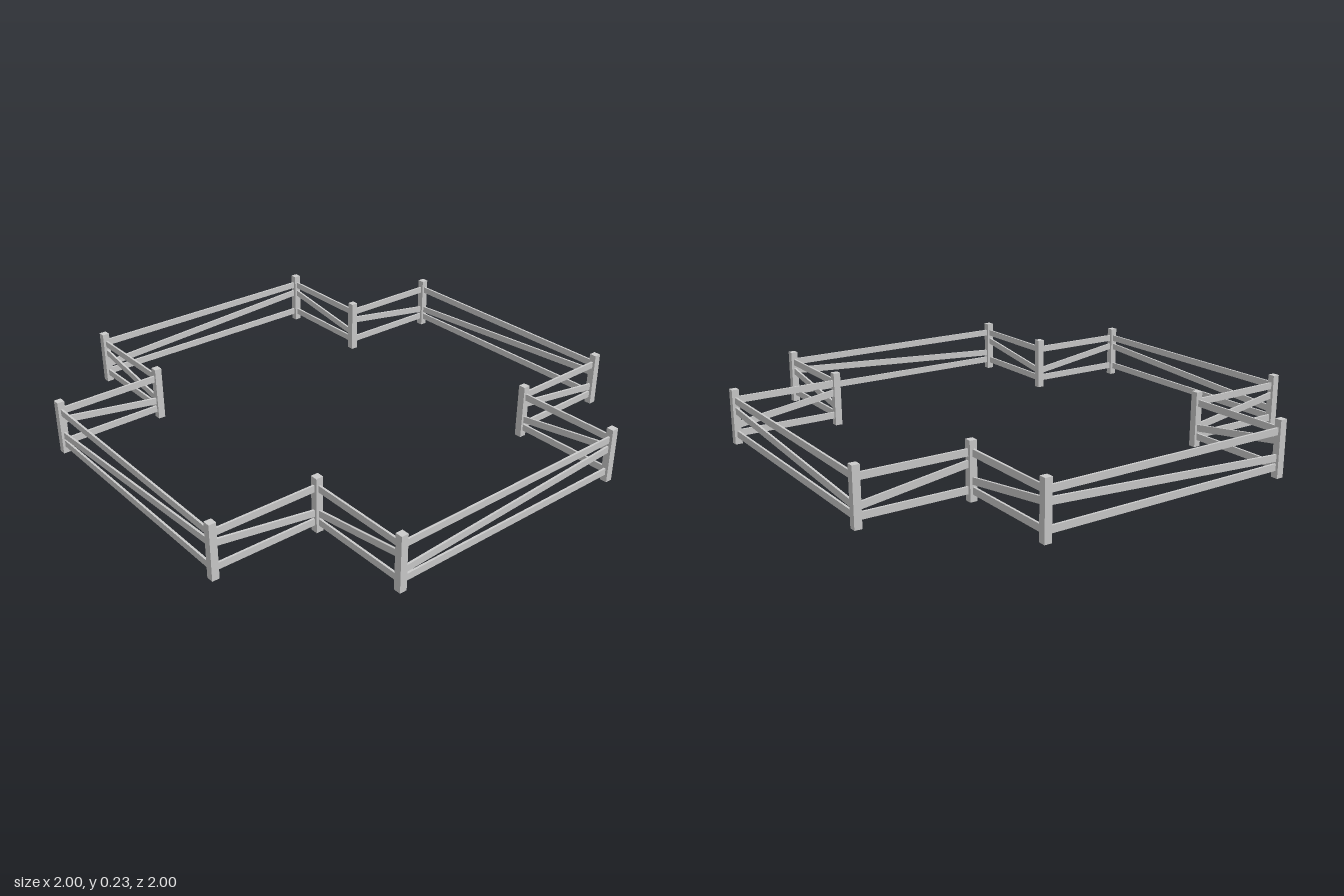
import * as THREE from 'three';

const POST = { width: 0.03, height: 0.23 };
const RAIL = { height: 0.028, depth: 0.009, inset: 0.012 };
const LOW = 0.079, HIGH = 0.142;

export function createModel() {
  const group = new THREE.Group();
  group.name = 'crossShapedFence';
  const material = new THREE.MeshStandardMaterial({ color: 0xcccccc, flatShading: true });

  // Corners of the cross-shaped outline, in order around it; the flag tells
  // whether the slanted rail rises from this corner to the next
  const o = 0.985, left = 0.534, right = -0.539, z = 0.537, zIn = 0.541;
  const corners = [
    [right, o, true], [left, o, false], [left, zIn, false],
    [o, z, false], [o, -z, true], [left, -zIn, true],
    [left, -o, false], [right, -o, false], [right, -zIn, true],
    [-o, -z, true], [-o, z, false], [right, zIn, true],
  ];

  // Square posts
  const postGeometry = new THREE.BoxGeometry(POST.width, POST.height, POST.width);
  for (const [px, pz] of corners) {
    const post = new THREE.Mesh(postGeometry, material);
    post.name = 'post';
    post.position.set(px, POST.height / 2, pz);
    group.add(post);
  }

  // A thin board from post to post; its ends are cut upright
  function addRail(name, [x0, z0], y0, [x1, z1], y1) {
    const length = Math.hypot(x1 - x0, z1 - z0) - 2 * RAIL.inset;
    const geometry = new THREE.BoxGeometry(length, RAIL.height, RAIL.depth);
    const p = geometry.attributes.position;
    for (let i = 0; i < p.count; i++) {
      p.setY(i, p.getY(i) + (p.getX(i) / length) * (y1 - y0));
    }
    geometry.computeVertexNormals();
    const rail = new THREE.Mesh(geometry, material);
    rail.name = name;
    rail.position.set((x0 + x1) / 2, (y0 + y1) / 2, (z0 + z1) / 2);
    rail.rotation.y = Math.atan2(z0 - z1, x1 - x0);
    group.add(rail);
  }

  // Two level rails and one slanted rail per span
  corners.forEach((a, i) => {
    const b = corners[(i + 1) % corners.length];
    const rises = a[2];
    addRail('topRail', a, 0.184, b, 0.184);
    addRail('bottomRail', a, 0.043, b, 0.043);
    addRail('slantedRail', a, rises ? LOW : HIGH, b, rises ? HIGH : LOW);
  });

  return group;
}
